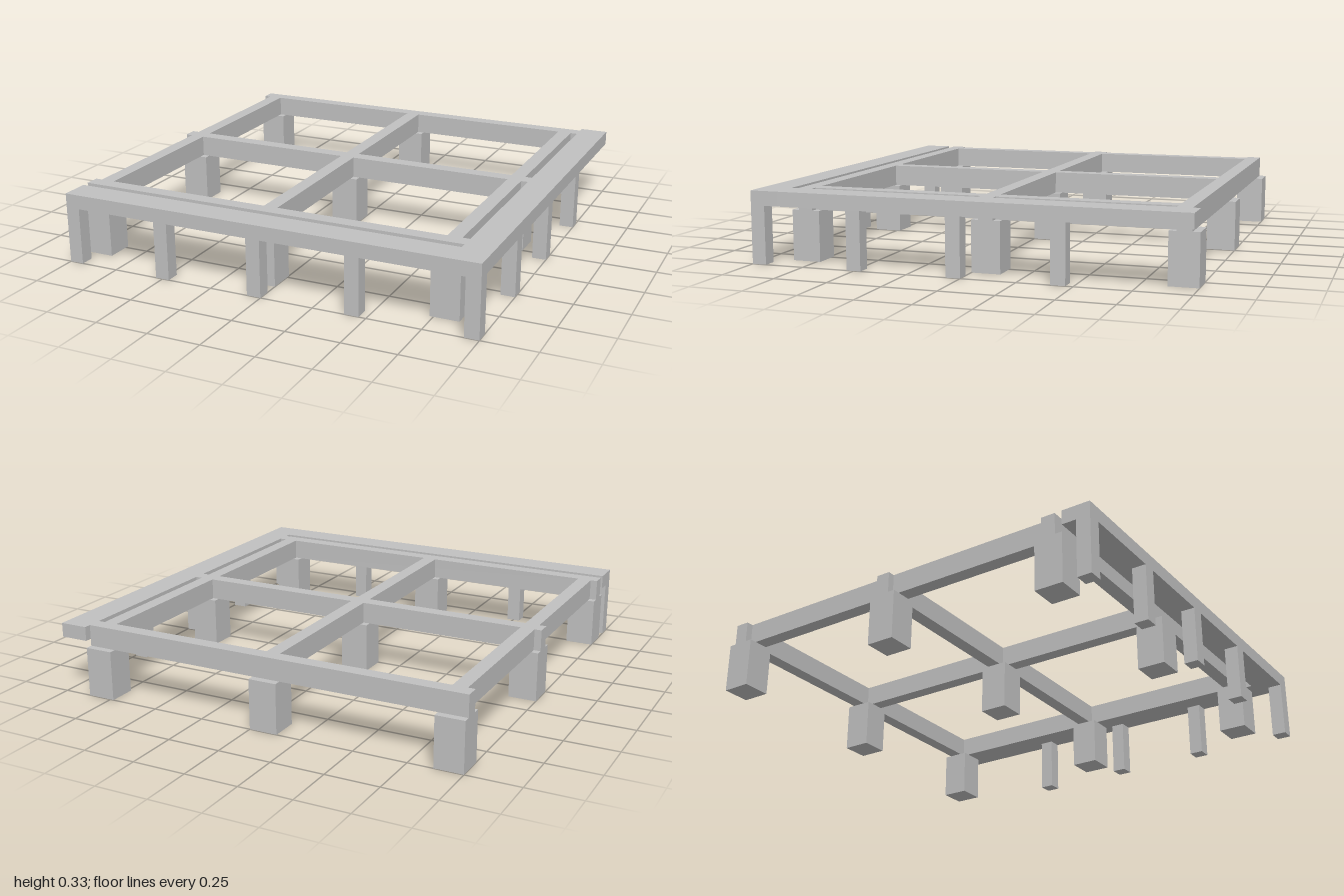
import * as THREE from 'three';

export function createModel() {
  const model = new THREE.Group();
  const grey = new THREE.MeshStandardMaterial({ color: 0xc0c0c0 });
  grey.name = 'plain grey';

  const u = 1 / 15; // module size: thickness of a post or beam

  // Box given by its limits in modules
  function block(name, x0, x1, y0, y1, z0, z1) {
    const mesh = new THREE.Mesh(
      new THREE.BoxGeometry((x1 - x0) * u, (y1 - y0) * u, (z1 - z0) * u), grey);
    mesh.position.set((x0 + x1) / 2 * u, (y0 + y1) / 2 * u, (z0 + z1) / 2 * u);
    mesh.name = name;
    model.add(mesh);
  }

  // L-shaped deck border along the front and one side
  block('frontDeck', -15, 15, 4, 5, 13, 15);
  block('sideDeck', 13, 15, 4, 5, -15, 13);

  // Slim posts under the outer edges of the border
  for (const p of [-15, -8, -1, 6, 14]) {
    block('frontPost', p, p + 1, 0, 4, 14, 15);
    if (p < 14) block('sidePost', 14, 15, 0, 4, -p - 1, -p);
  }

  // Grid of thick piers
  const pierX = [-15, -2, 11];
  const pierZ = [-15, -2, 11];
  for (const x of pierX)
    for (const z of pierZ) block('pier', x, x + 2, 0, 3.5, z, z + 2);

  // Long beams centred on the pier rows
  for (const z of pierZ) block('longBeam', -15, 13, 3.5, 5, z + 0.5, z + 1.5);

  // Cross beams fitted between the long beams
  for (const x of pierX)
    for (let i = 0; i < 2; i++)
      block('crossBeam', x + 0.5, x + 1.5, 3.5, 5, pierZ[i] + 1.5, pierZ[i + 1] + 0.5);

  return model;
}
